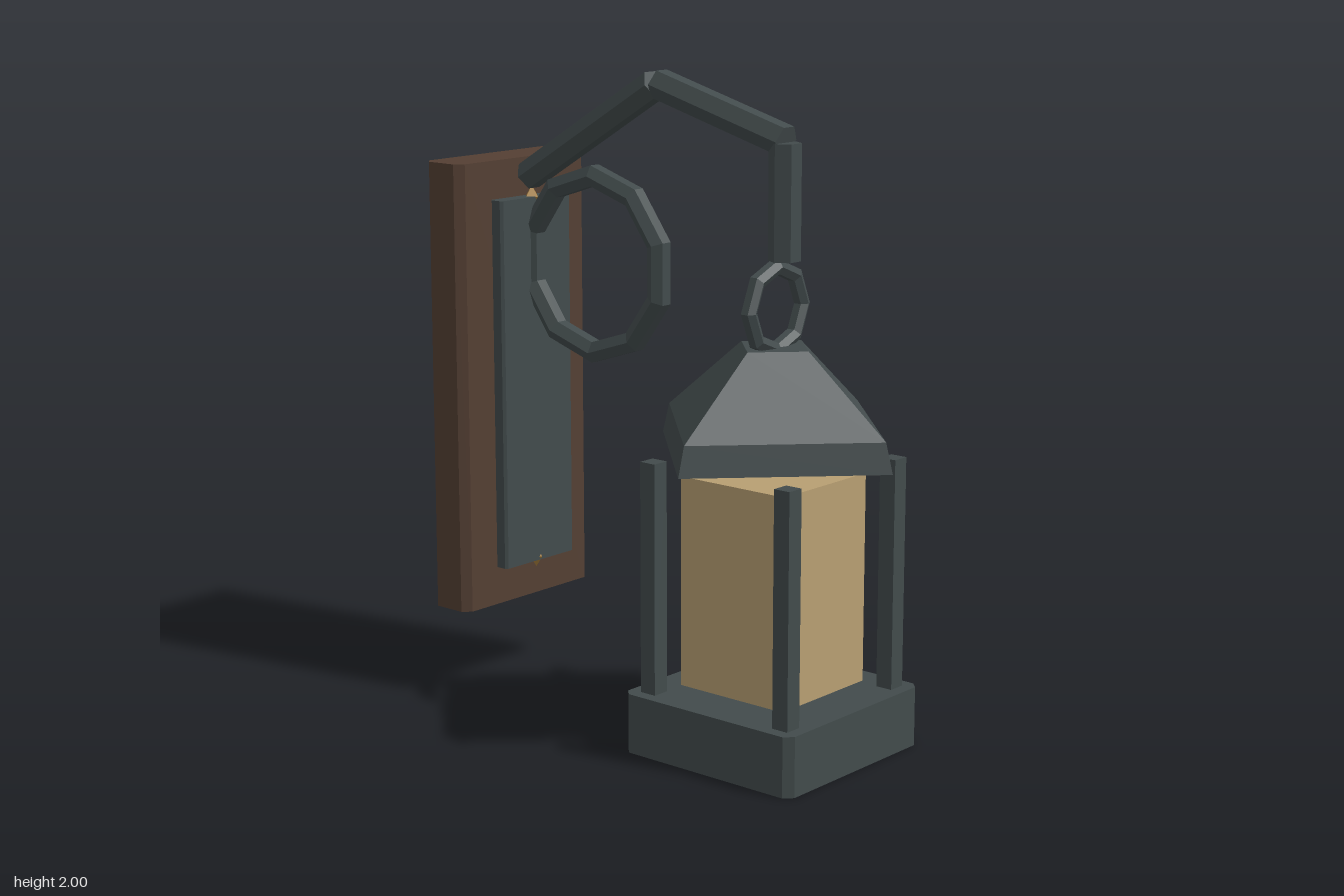
import * as THREE from 'three';

const mat = (color) => new THREE.MeshStandardMaterial({ color, flatShading: true });

export function createModel() {
  const group = new THREE.Group();
  const metal = mat(0x424b4c), wood = mat(0x543f33), glass = mat(0xb89f72), brass = mat(0xa8803c);
  const lampZ = 0.36;

  function add(name, geometry, material, x = 0, y = 0, z = 0) {
    const mesh = new THREE.Mesh(geometry, material);
    mesh.name = name;
    mesh.position.set(x, y, z);
    group.add(mesh);
    return mesh;
  }

  // Upright block with chamfered vertical edges, standing on its origin
  function block(w, h, d, c) {
    const x = w / 2, z = d / 2;
    const corners = [[x, z - c], [x - c, z], [c - x, z], [-x, z - c], [-x, c - z], [c - x, -z], [x - c, -z], [x, c - z]];
    const shape = new THREE.Shape(corners.map(([a, b]) => new THREE.Vector2(a, b)));
    return new THREE.ExtrudeGeometry(shape, { depth: h, bevelEnabled: false }).rotateX(-Math.PI / 2);
  }

  // Faceted ring of hexagonal bar, axis along y
  function ring(radius, bar, sides) {
    const profile = [];
    for (let i = 0; i <= 6; i++) {
      const a = (i + 0.5) * Math.PI / 3;
      profile.push(new THREE.Vector2(radius + bar * Math.cos(a), bar * Math.sin(a)));
    }
    return new THREE.LatheGeometry(profile, sides, Math.PI / 2);
  }

  // Hexagonal bar between two [z, y] points in the middle plane
  function bar(name, [z0, y0], [z1, y1]) {
    const dz = z1 - z0, dy = y1 - y0;
    const geometry = new THREE.CylinderGeometry(0.048, 0.048, Math.hypot(dz, dy), 6, 1, false, Math.PI / 2);
    add(name, geometry, metal, 0, (y0 + y1) / 2, (z0 + z1) / 2).rotation.x = Math.atan2(dz, dy);
  }

  // Wall mount
  add('wallBoard', block(0.57, 1.415, 0.155, 0.025), wood, 0, 0.285, -0.718);
  add('mountPlate', block(0.31, 1.17, 0.05, 0.008), metal, 0, 0.41, -0.615);
  for (const y of [0.42, 1.578]) {
    add('screw', new THREE.OctahedronGeometry(0.026).scale(1, 1.4, 1), brass, 0, y, -0.61);
  }

  // Bent arm and its decorative ring
  bar('armDrop', [0.393, 1.48], [0.393, 1.82]);
  bar('armFront', [0.395, 1.825], [-0.085, 1.96]);
  bar('armBack', [-0.098, 1.957], [-0.622, 1.642]);
  add('braceRing', ring(0.273, 0.037, 10), metal, 0, 1.393, -0.345).rotation.z = Math.PI / 2;

  // Hanging ring and roof
  add('hangingRing', ring(0.123, 0.025, 8), metal, 0, 1.338, 0.363).rotation.x = Math.PI / 2;
  const roof = [[0, 0.91], [0.43, 0.91], [0.405, 1.0], [0.125, 1.226], [0, 1.226]];
  add('roof', new THREE.LatheGeometry(roof.map(([r, y]) => new THREE.Vector2(r, y)), 4), metal, 0, 0, lampZ);

  // Lantern body
  add('base', block(0.632, 0.183, 0.632, 0.025), metal, 0, 0, lampZ);
  add('glass', new THREE.BoxGeometry(0.386, 0.64, 0.386), glass, 0, 0.522, lampZ);
  for (const x of [-0.25, 0.25]) {
    for (const z of [-0.25, 0.25]) {
      add('post', new THREE.BoxGeometry(0.055, 0.71, 0.055), metal, x, 0.533, lampZ + z);
    }
  }

  return group;
}
